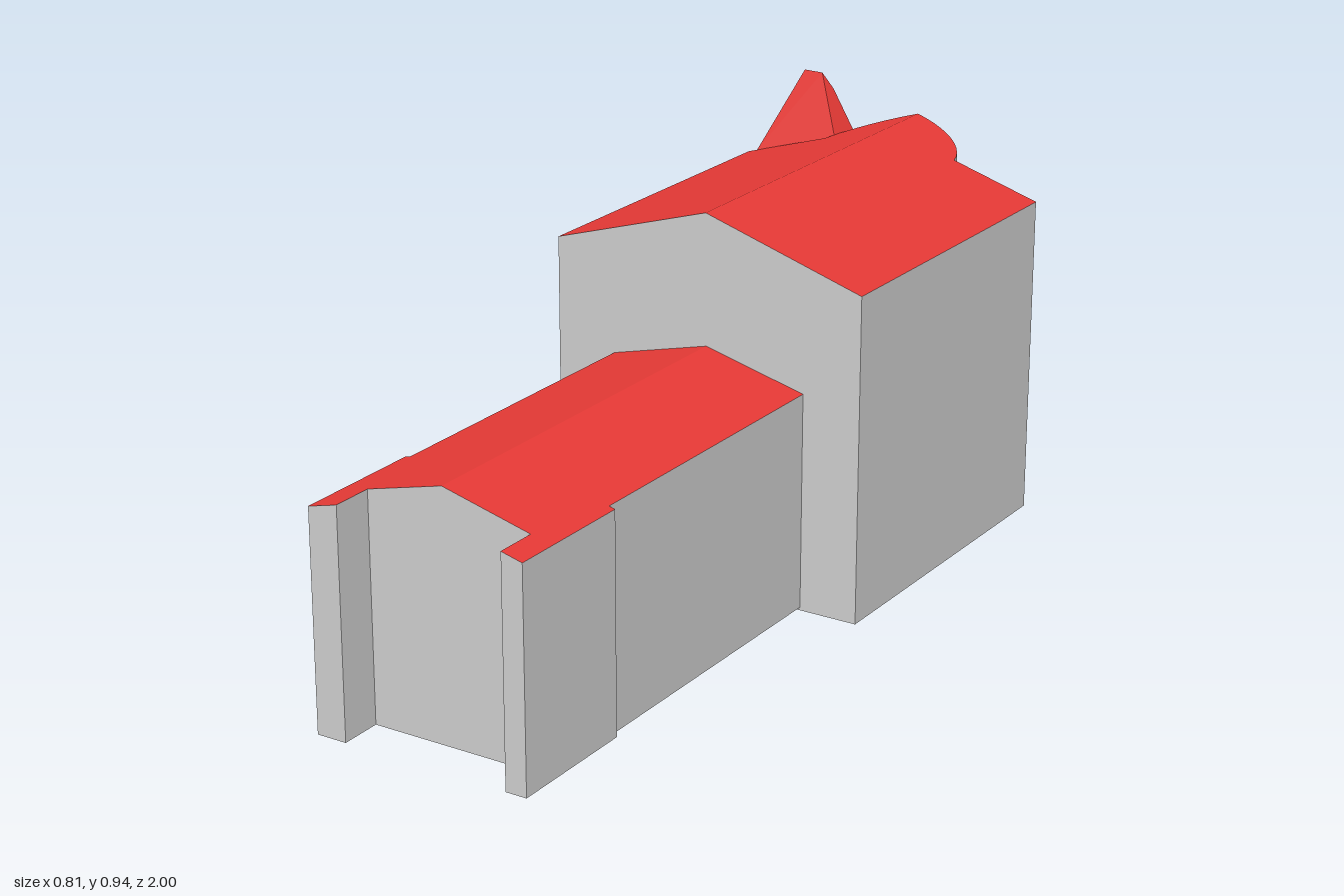
import * as THREE from 'three';
import { ConvexGeometry } from 'three/addons/geometries/ConvexGeometry.js';

const wallMat = new THREE.MeshStandardMaterial({ color: 0xcccccc, flatShading: true });
const roofMat = new THREE.MeshStandardMaterial({ color: 0xe53935, flatShading: true });

function makeMesh(name, points, material) {
  const geometry = new THREE.BufferGeometry().setFromPoints(points);
  geometry.computeVertexNormals();
  const mesh = new THREE.Mesh(geometry, material);
  mesh.name = name;
  return mesh;
}

// Walls, floor and sloping top over plan outlines [x, z], each counterclockwise from above.
// An open outline starts and ends on the ridge line, so it gets no wall along it.
function building(name, outlines, base, heightAt, { closed = false, roof = true } = {}) {
  const walls = [], top = [];
  for (const outline of outlines) {
    const low = outline.map(([x, z]) => new THREE.Vector3(x, base, z));
    const high = outline.map(([x, z]) => new THREE.Vector3(x, heightAt(x), z));
    const n = outline.length;
    for (let i = 0; i < (closed ? n : n - 1); i++) {
      const j = (i + 1) % n;
      walls.push(low[i], low[j], high[j], low[i], high[j], high[i]);
    }
    const plan = outline.map(([x, z]) => new THREE.Vector2(x, -z));
    for (const [a, b, c] of THREE.ShapeUtils.triangulateShape(plan, [])) {
      top.push(high[a], high[b], high[c]);
      walls.push(low[a], low[c], low[b]);
    }
  }
  const group = new THREE.Group();
  group.name = name;
  group.add(makeMesh(name + 'Walls', walls, wallMat));
  if (roof) group.add(makeMesh(name + 'Roof', top, roofMat));
  return group;
}

const gable = (ridgeX, ridgeY, slope) => (x) => ridgeY - slope * Math.abs(x - ridgeX);

export function createModel() {
  const model = new THREE.Group();
  model.name = 'church';
  const plan = new THREE.Group();
  plan.name = 'churchBody';
  plan.rotation.y = 0.068;
  model.add(plan);

  // Tall hall with a rounded apse under the same gable
  const cx = 0.028, back = -0.853, radius = 0.174, apseZ = -0.816;
  const spread = Math.acos((apseZ - back) / radius);
  const arc = [];
  const steps = 10;
  for (let i = 0; i <= steps; i++) {
    const a = spread * (1 - i / steps);
    arc.push([cx + radius * Math.sin(a), apseZ - radius * Math.cos(a)]);
  }
  const hallRight = [[cx, -0.058], [0.409, -0.058], [0.409, back], ...arc];
  const hallLeft = [
    ...arc.map(([x, z]) => [2 * cx - x, z]).reverse(),
    [-0.351, back], [-0.351, -0.058], [cx, -0.058],
  ];
  plan.add(building('hall', [hallRight, hallLeft], 0, gable(cx, 0.858, 0.308)));

  // Low nave with two projecting front buttresses
  const nx = 0.03;
  const naveRight = [
    [nx, 0.89], [0.237, 0.89], [0.237, 0.987], [0.286, 0.987],
    [0.286, 0.677], [0.272, 0.677], [0.272, -0.065], [nx, -0.065],
  ];
  const naveLeft = [
    [nx, -0.065], [-0.207, -0.065], [-0.207, 0.677], [-0.22, 0.677],
    [-0.22, 0.987], [-0.15, 0.987], [-0.15, 0.89], [nx, 0.89],
  ];
  plan.add(building('nave', [naveRight, naveLeft], 0.007, gable(nx, 0.56, 0.254)));

  // Corner turret with a chamfered side and a steep hipped roof
  const eave = 0.748;
  const turret = [
    [-0.327, -0.85], [-0.1, -0.85], [-0.086, -0.948], [-0.137, -1.013], [-0.327, -1.013],
  ];
  plan.add(building('turret', [turret], 0.004, () => eave, { closed: true, roof: false }));
  const peak = [[-0.247, 0.938, -0.934], [-0.198, 0.938, -0.931], [-0.175, 0.9, -0.945]];
  const turretRoof = new THREE.Mesh(
    new ConvexGeometry([
      ...turret.map(([x, z]) => new THREE.Vector3(x, eave, z)),
      ...peak.map((p) => new THREE.Vector3(...p)),
    ]),
    roofMat
  );
  turretRoof.name = 'turretRoof';
  plan.add(turretRoof);

  return model;
}
